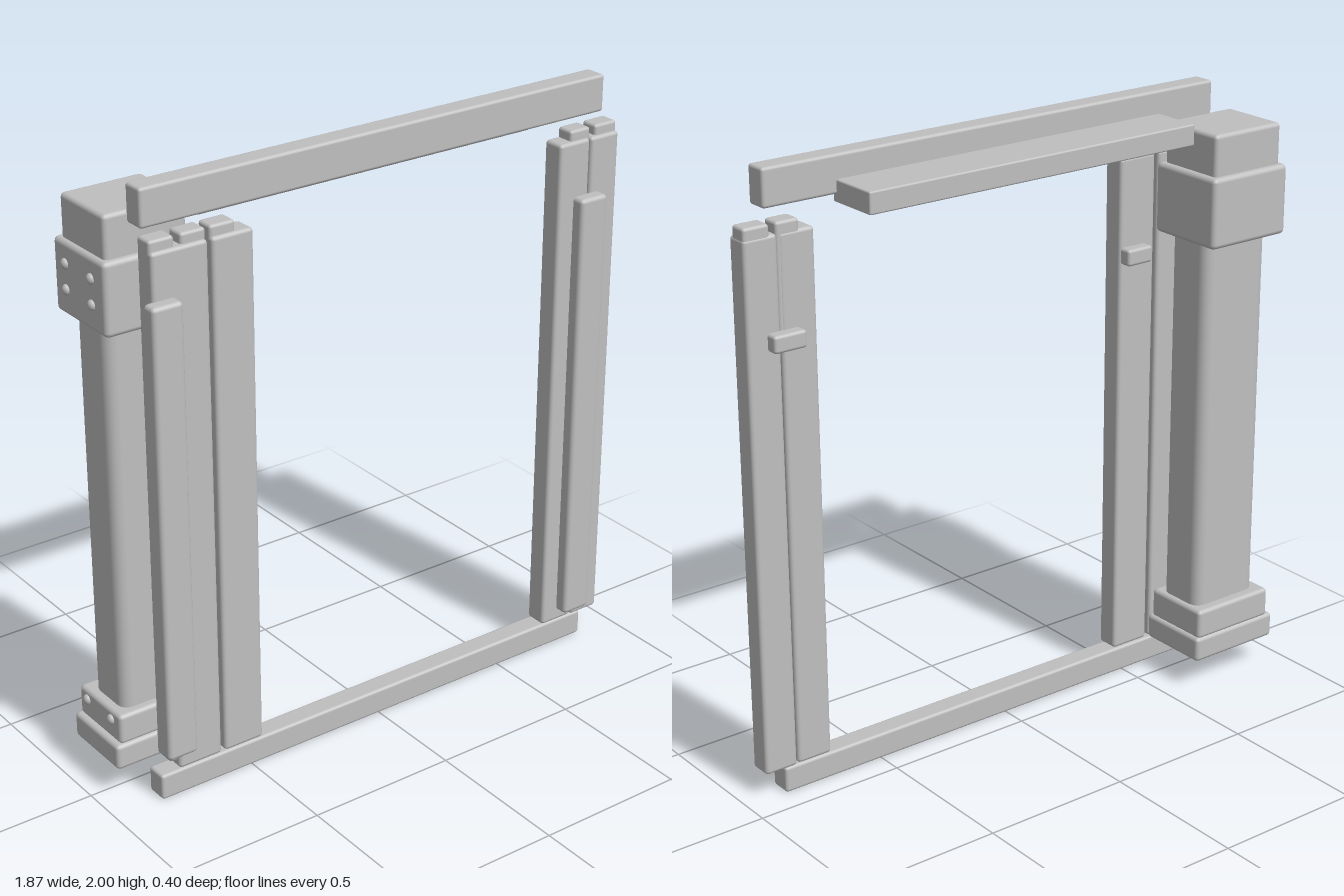
import * as THREE from 'three';
import { RoundedBoxGeometry } from 'three/addons/geometries/RoundedBoxGeometry.js';

const grey = new THREE.MeshStandardMaterial({ color: 0xbfbfbf });
grey.name = 'plain grey';

export function createModel() {
  const root = new THREE.Group();
  root.name = 'doorFrame';

  // Softly bevelled box given by its limits on each axis
  const block = (name, [x0, x1], [y0, y1], [z0, z1], radius = 0.01) => {
    const mesh = new THREE.Mesh(new RoundedBoxGeometry(x1 - x0, y1 - y0, z1 - z0, 2, radius), grey);
    mesh.position.set((x0 + x1) / 2, (y0 + y1) / 2, (z0 + z1) / 2);
    mesh.name = name;
    root.add(mesh);
  };
  const frame = [0.08, 0.155];

  // Horizontal beams and the ledge behind the top one
  block('topBeam', [-0.835, 0.86], [1.88, 2], frame);
  block('bottomBeam', [-0.835, 0.86], [0, 0.087], frame);
  block('lintelLedge', [-0.615, 0.61], [1.855, 1.925], [-0.087, 0.1], 0.006);

  // Upright planks: main board limits, then the raised tongue on top
  const planks = [
    [-0.805, -0.7, 0.125, -0.805, -0.72],
    [-0.77, -0.615, 0.09, -0.7, -0.615],
    [-0.602, -0.46, 0.09, -0.602, -0.515],
    [0.69, 0.812, 0.087, 0.74, 0.82],
    [0.816, 0.93, 0.085, 0.84, 0.928],
  ];
  planks.forEach(([x0, x1, y0, t0, t1], i) => {
    block(`plank${i + 1}`, [x0, x1], [y0, 1.802], [0.08, 0.157], 0.012);
    block(`plankTongue${i + 1}`, [t0, t1], [1.45, 1.835], [0.082, 0.145]);
  });

  // Front battens and rear clips
  block('rightBatten', [-0.833, -0.728], [0.162, 1.657], [0.145, 0.2], 0.014);
  block('leftBatten', [0.75, 0.857], [0.127, 1.62], [0.145, 0.2], 0.014);
  block('leftClip', [0.75, 0.862], [1.455, 1.51], [0.042, 0.09]);
  block('rightClip', [-0.565, -0.465], [1.455, 1.51], [0.042, 0.09]);

  // Column with its capital and base
  block('columnShaft', [-0.885, -0.625], [0.2, 1.64], [-0.145, 0.027], 0.035);
  block('columnTop', [-0.895, -0.622], [1.7, 1.905], [-0.18, 0.058], 0.014);
  block('columnCapital', [-0.912, -0.602], [1.542, 1.772], [-0.2, 0.077], 0.016);
  block('columnCollar', [-0.917, -0.607], [0.18, 0.282], [-0.182, 0.057], 0.014);
  block('columnBase', [-0.937, -0.597], [0.1, 0.186], [-0.187, 0.067], 0.014);

  // Bolt heads on the outer face of the column
  const boltShape = new THREE.SphereGeometry(0.017, 12, 8);
  for (const y of [1.705, 1.625, 0.25]) {
    for (const z of [-0.135, 0.005]) {
      const bolt = new THREE.Mesh(boltShape, grey);
      bolt.name = 'bolt';
      bolt.scale.x = 0.8;
      bolt.position.set(y > 1 ? -0.912 : -0.917, y, z);
      root.add(bolt);
    }
  }
  return root;
}
